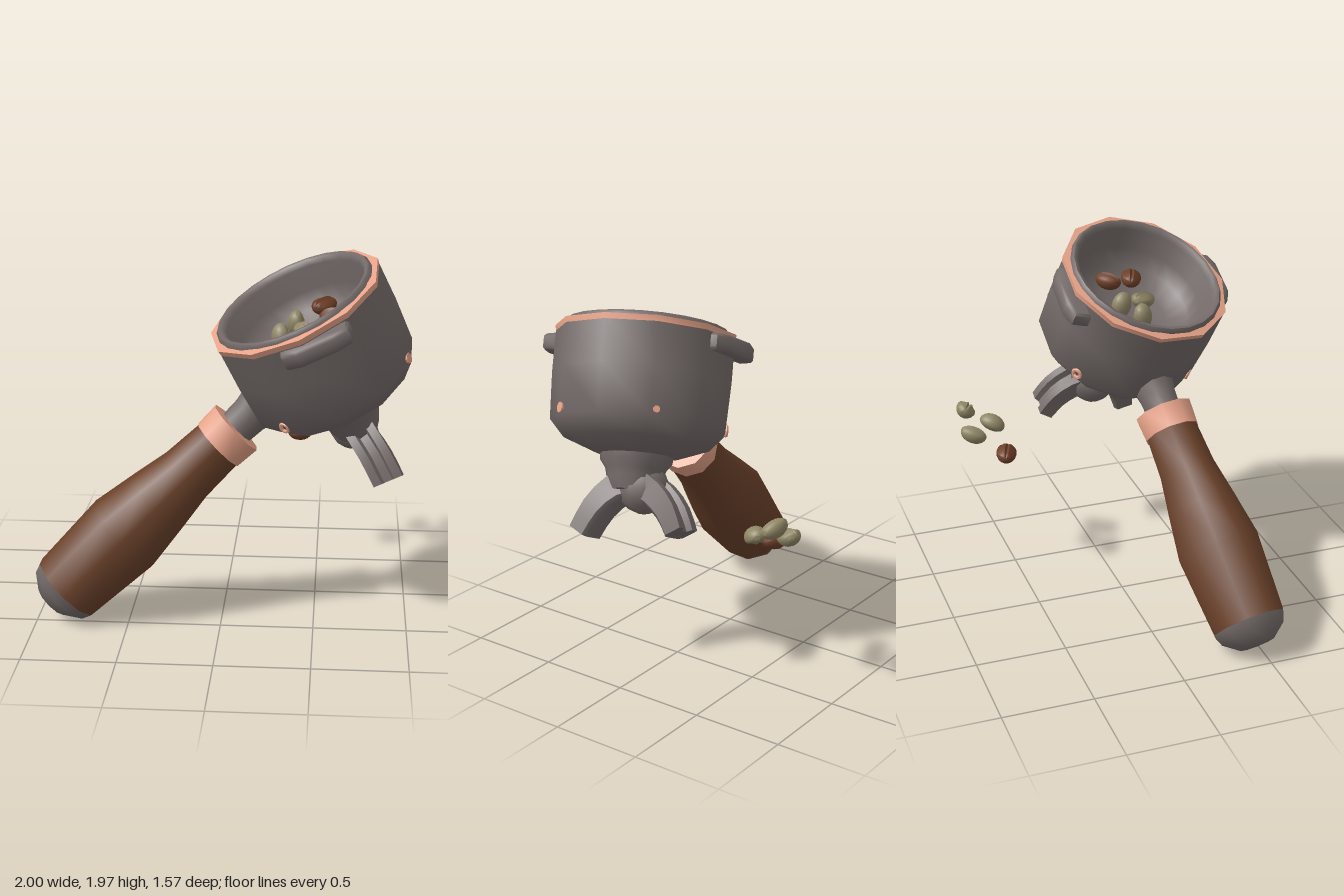
import * as THREE from 'three';
import { toCreasedNormals } from 'three/addons/utils/BufferGeometryUtils.js';

const V = (x, y, z) => new THREE.Vector3(x, y, z);

export function createModel() {
  const model = new THREE.Group();
  const paint = (name, color) => {
    const m = new THREE.MeshStandardMaterial({ color });
    m.name = name;
    return m;
  };
  const steel = paint('warm grey steel', 0x746b69);
  const copper = paint('copper', 0xe6a288);
  const wood = paint('brown wood', 0x6a412a);
  const roasted = paint('roasted bean', 0x6e3f28);
  const green = paint('unroasted bean', 0x8f8666);

  const add = (parent, name, geo, mat, crease = 0.6) => {
    const mesh = new THREE.Mesh(toCreasedNormals(geo, crease), mat);
    mesh.name = name;
    parent.add(mesh);
    return mesh;
  };
  const lathe = (pts, sides) =>
    new THREE.LatheGeometry(pts.map(([r, y]) => new THREE.Vector2(r, y)), sides);

  // Tilted basket: local y is its axis, local z points at the front lug
  const up = V(-0.42, 0.88, 0.2).normalize();
  const side = V(0, 0, 1).addScaledVector(up, -up.z).normalize();
  const across = V(0, 0, 0).crossVectors(up, side);
  const basket = new THREE.Group();
  basket.name = 'basket';
  basket.position.set(0.37, 1.755, 0.27);
  basket.quaternion.setFromRotationMatrix(new THREE.Matrix4().makeBasis(across, up, side));
  model.add(basket);

  add(basket, 'basketBody', lathe(
    [[0, -0.67], [0.22, -0.655], [0.39, -0.59], [0.47, -0.5], [0.482, -0.25], [0.482, -0.03]], 11), steel, 0.9);
  add(basket, 'copperRim', lathe([[0.482, -0.03], [0.487, 0], [0.42, 0.008]], 11), copper);
  add(basket, 'innerCup', lathe(
    [[0.446, -0.02], [0.444, 0.012], [0.43, 0.028], [0.41, 0.024], [0.394, -0.005],
      [0.375, -0.13], [0.33, -0.22], [0.22, -0.285], [0, -0.31]], 24), steel, 0.9);

  // Locking lugs on opposite sides
  for (const s of [1, -1]) {
    const shape = new THREE.Shape();
    [[-0.18, -0.05], [0.18, -0.05], [0.17, 0.02], [0.1, 0.05], [-0.1, 0.05], [-0.17, 0.02]]
      .forEach(([x, y], i) => (i ? shape.lineTo(x, y) : shape.moveTo(x, y)));
    const geo = new THREE.ExtrudeGeometry(shape,
      { depth: 0.06, bevelThickness: 0.015, bevelSize: 0.012, bevelSegments: 1 });
    geo.rotateX(Math.PI / 2);
    const lug = add(basket, s > 0 ? 'frontLug' : 'backLug', geo, steel, 0.9);
    lug.position.set(s > 0 ? 0.06 : -0.09, -0.05, s * 0.47);
    if (s < 0) lug.rotation.y = Math.PI;
  }

  // Copper rivets and ring screws set into the wall
  const onWall = (mesh, degrees, r, y) => {
    const a = THREE.MathUtils.degToRad(degrees);
    mesh.position.set(Math.cos(a) * r, y, Math.sin(a) * r);
    mesh.rotation.y = Math.PI / 2 - a;
  };
  for (const [deg, r] of [[25, 0.028], [-45, 0.018]]) {
    const geo = new THREE.CylinderGeometry(r, r, 0.04, 10).rotateX(Math.PI / 2);
    onWall(add(basket, 'rivet', geo, copper), deg, 0.454, -0.47);
  }
  for (const deg of [130, -130])
    onWall(add(basket, 'ringScrew', new THREE.TorusGeometry(0.024, 0.011, 6, 12), copper, 1), deg, 0.458, -0.48);

  // Spout hub under the basket and the rounded joint where the spouts meet
  add(basket, 'spoutHub', lathe(
    [[0, -0.86], [0.12, -0.84], [0.15, -0.77], [0.16, -0.73], [0.19, -0.69], [0.2, -0.6]], 12), steel, 0.9);
  add(model, 'spoutJoint', new THREE.SphereGeometry(0.135, 12, 8), steel, 0.9).position.set(0.695, 1.025, 0.055);

  // Open-topped spouts lofted from a channel section
  const section = [[-0.5, -0.35], [-0.35, -0.5], [0.35, -0.5], [0.5, -0.35], [0.5, 0.5], [0.22, 0.5],
    [0.14, 0.25], [-0.14, 0.25], [-0.22, 0.5], [-0.5, 0.5]];
  const spout = (name, path, s) => {
    const curve = new THREE.CatmullRomCurve3(path);
    const w = across.clone().multiplyScalar(s);
    const pos = [], index = [], n = section.length, steps = 6;
    for (let i = 0; i <= steps; i++) {
      const k = i / steps, c = curve.getPoint(k), t = curve.getTangent(k);
      const out = V(0, 0, 0).crossVectors(t, w).normalize();
      for (const [a, b] of section) {
        const p = c.clone().addScaledVector(w, a * 0.165).addScaledVector(out, b * (0.16 - 0.05 * k));
        pos.push(p.x, p.y, p.z);
      }
      if (i < steps) for (let j = 0; j < n; j++) {
        const a = i * n + j, b = i * n + (j + 1) % n;
        index.push(a, b, b + n, a, b + n, a + n);
      }
    }
    const flat = section.map(([a, b]) => new THREE.Vector2(a, b));
    for (const f of THREE.ShapeUtils.triangulateShape(flat, []))
      index.push(...f.map((v) => v + steps * n));
    const geo = new THREE.BufferGeometry();
    geo.setAttribute('position', new THREE.Float32BufferAttribute(pos, 3));
    geo.setIndex(index);
    add(model, name, geo, steel, 0.8);
  };
  spout('frontSpout', [V(0.68, 1.06, 0.06), V(0.74, 1.01, 0.17), V(0.82, 0.91, 0.25), V(0.89, 0.785, 0.295)], 1);
  spout('backSpout', [V(0.7, 1.05, 0.08), V(0.72, 1.02, -0.06), V(0.74, 0.955, -0.16), V(0.765, 0.865, -0.23)], -1);

  // Handle along its own axis, from end cap to neck
  const handle = new THREE.Group();
  handle.name = 'handle';
  handle.position.set(-0.845, 0.177, 0.43);
  handle.quaternion.setFromUnitVectors(V(0, 1, 0), V(0.92, 0.888, -0.16).normalize());
  model.add(handle);
  add(handle, 'endCap', lathe([[0, -0.125], [0.1, -0.118], [0.188, -0.05], [0.208, 0]], 10), steel, 0.75);
  add(handle, 'grip', lathe([[0.208, 0], [0.238, 0.44], [0.2, 0.69], [0.163, 0.91], [0.15, 1.16]], 10), wood, 0.75);
  add(handle, 'collar', lathe([[0.14, 1.145], [0.158, 1.145], [0.166, 1.28], [0.1, 1.285]], 10), copper, 0.75);
  add(handle, 'neck', lathe([[0.1, 1.25], [0.108, 1.38], [0.135, 1.5]], 10), steel, 0.75);

  // Coffee beans: flattened ellipsoids with a fine groove
  const beanGeo = new THREE.SphereGeometry(1, 16, 10).rotateZ(Math.PI / 2);
  const p = beanGeo.attributes.position;
  for (let i = 0; i < p.count; i++) {
    const y = p.getY(i), z = p.getZ(i);
    if (y > 0.05) p.setY(i, y * (Math.abs(z) < 0.05 ? 0.5 : 0.78));
    if (y > 0.5) p.setZ(i, z * 0.6);
  }
  beanGeo.scale(0.076, 0.054, 0.058);
  const beans = [
    // x, y, z, tilt, yaw, roll, colour
    [0.5, 0.88, -0.72, 0.4, 1.2, 0, green],
    [0.6, 0.88, -0.585, 0.45, 1.05, Math.PI, green],
    [0.64, 0.975, -0.725, 0.7, -0.45, 0, green],
    [0.39, 0.785, -0.56, 0.2, -0.35, 0.2, roasted],
    [0.525, 1.7, 0.1, 0.2, 0.8, 0, roasted],
    [0.575, 1.68, 0.255, 0.2, -0.35, 0.2, roasted],
    [0.43, 1.6, 0.275, 0.2, -1.1, 0, green],
    [0.385, 1.6, 0.13, 0.2, 0.2, -1.5, green],
    [0.305, 1.55, 0.225, -0.2, 0.5, -1.5, green],
  ];
  for (const [x, y, z, tilt, yaw, roll, mat] of beans) {
    const bean = add(model, 'coffeeBean', beanGeo, mat, 0.9);
    bean.position.set(x, y, z);
    bean.rotation.set(tilt, yaw, roll);
  }
  return model;
}
